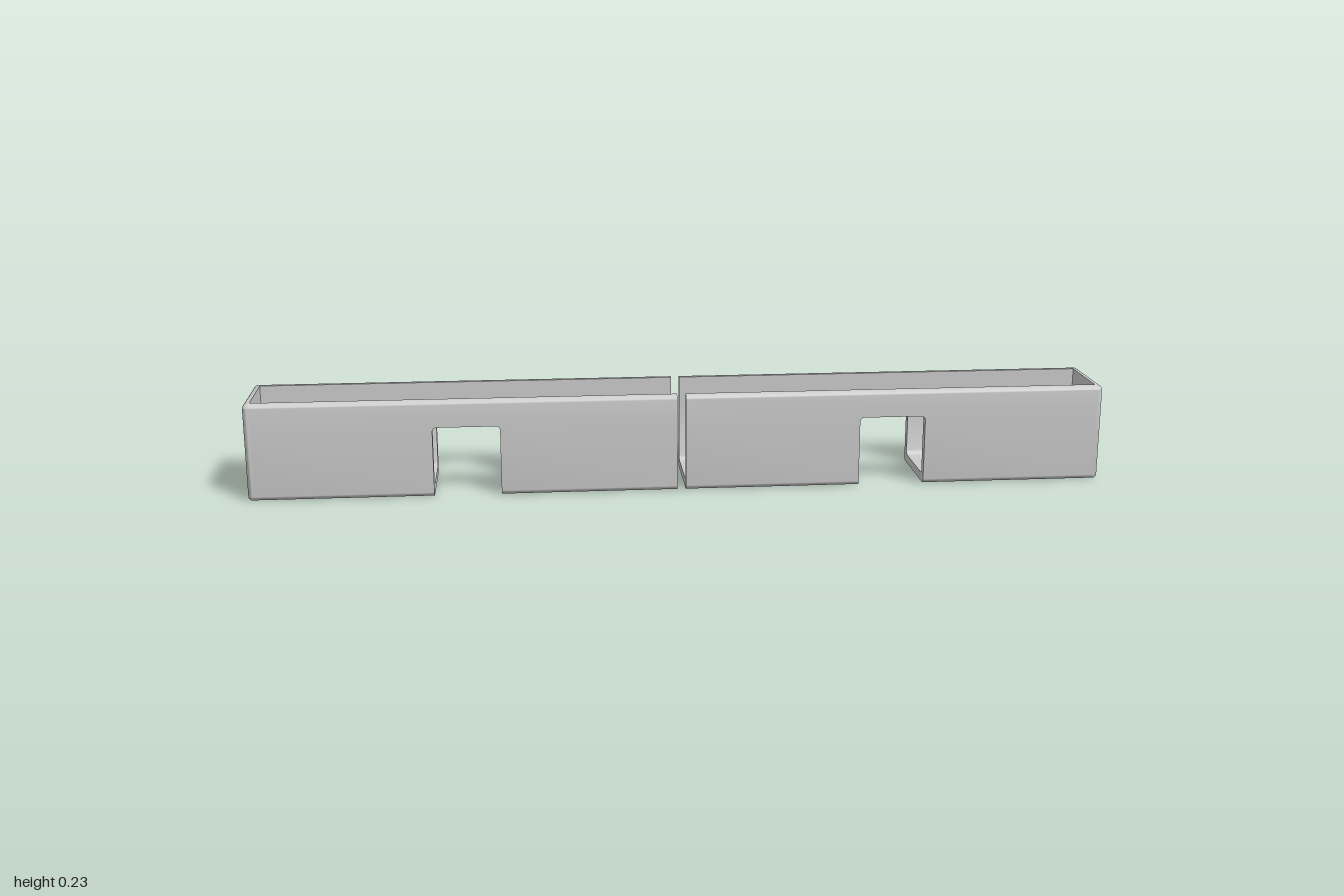
import * as THREE from 'three';
import { toCreasedNormals } from 'three/addons/utils/BufferGeometryUtils.js';

const W = 0.1, H = 0.228, T = 0.02, R = 0.01;      // half width, height, wall, edge radius
const X0 = 0.01, XE = 0.985, X1 = 1;               // open end, inner face of end wall, outer end
const N0 = 0.42, N1 = 0.575, NY = 0.165, YS = 0.17; // notch range and top, trough/rail split

const material = new THREE.MeshStandardMaterial({ color: 0xcccccc });

function mesh(name, geometry) {
  const m = new THREE.Mesh(geometry, material);
  m.name = name;
  return m;
}

// Arc of [z, y] points
function arc(cz, cy, r, a0, a1, n = 5) {
  return Array.from({ length: n + 1 }, (_, i) => {
    const a = a0 + (a1 - a0) * i / n;
    return [cz + r * Math.cos(a), cy + r * Math.sin(a)];
  });
}

// Surface through rings { x, pts } of [z, y] points, pts running counter-clockwise
function loft(rings) {
  const n = rings[0].pts.length, pos = [], index = [];
  rings.forEach(({ x, pts }) => pts.forEach(([z, y]) => pos.push(x, y, z)));
  for (let r = 0; r < rings.length - 1; r++) {
    for (let i = 0; i < n - 1; i++) {
      const a = r * n + i, b = a + n;
      index.push(a, b, a + 1, b, b + 1, a + 1);
    }
  }
  const g = new THREE.BufferGeometry();
  g.setAttribute('position', new THREE.Float32BufferAttribute(pos, 3));
  g.setIndex(index);
  return toCreasedNormals(g, 0.7);
}

const run = (pts, a, b) => loft([{ x: a, pts }, { x: b, pts }]);

// Flat z-symmetric face at x, facing along dir
function cap(pts, x, dir) {
  const shape = new THREE.Shape(pts.map(([z, y]) => new THREE.Vector2(z, y)));
  return new THREE.ShapeGeometry(shape).rotateY(dir * Math.PI / 2).translate(x, 0, 0);
}

// Closed rounded rectangle, inset by d
function roundedRect(d) {
  const r = R - d, P = Math.PI, w = W - R, h = H - R;
  const pts = [
    ...arc(-w, R, r, P, 1.5 * P), ...arc(w, R, r, 1.5 * P, 2 * P),
    ...arc(w, h, r, 0, P / 2), ...arc(-w, h, r, P / 2, P),
  ];
  return [...pts, pts[0]];
}

function createHalf() {
  const half = new THREE.Group();
  const P = Math.PI, I = W - T;

  // Section outlines
  const outer = [[-W, YS], ...arc(-W + R, R, R, P, 1.5 * P), ...arc(W - R, R, R, 1.5 * P, 2 * P), [W, YS]];
  const inner = [[I, YS], ...arc(I - R, T + R, R, 0, -P / 2), ...arc(-I + R, T + R, R, -P / 2, -P), [-I, YS]];
  const rail = [[W, YS], ...arc(W - R, H - R, R, 0, P / 2), [I, H], [I, YS]];
  const railBack = rail.map(([z, y]) => [-z, y]).reverse();

  // Trough on both sides of the notch
  for (const [a, b] of [[X0, N0], [N1, XE]]) {
    half.add(mesh('troughOutside', run(outer, a, b)), mesh('troughInside', run(inner, a, b)));
  }
  half.add(mesh('notchFace', cap([...outer, ...inner], N0, 1)));
  half.add(mesh('notchFace', cap([...outer, ...inner], N1, -1)));

  // Upper rails along the whole length
  half.add(mesh('frontRail', run(rail, X0, XE)), mesh('backRail', run(railBack, X0, XE)));
  half.add(mesh('openEndFace', cap([...outer, ...rail, ...inner, ...railBack], X0, -1)));

  // Lintels with small rounded corners over the notch
  const s = new THREE.Shape();
  s.moveTo(N0, YS);
  s.lineTo(N0, NY - R);
  s.absarc(N0 + R, NY - R, R, P, P / 2, true);
  s.absarc(N1 - R, NY - R, R, P / 2, 0, true);
  s.lineTo(N1, YS);
  for (const z of [I, -W]) {
    const g = new THREE.ExtrudeGeometry(s, { depth: T, bevelEnabled: false, curveSegments: 5 });
    half.add(mesh('notchLintel', g.translate(0, 0, z)));
  }

  // Closed end wall with rounded rim
  const rings = [{ x: XE, pts: roundedRect(0) }];
  for (let i = 0; i <= 5; i++) {
    const a = i / 5 * P / 2;
    rings.push({ x: X1 - R + R * Math.sin(a), pts: roundedRect(R * (1 - Math.cos(a))) });
  }
  const w = W - R;
  half.add(mesh('endWallRim', loft(rings)));
  half.add(mesh('endWallOutside', cap([[-w, R], [w, R], [w, H - R], [-w, H - R]], X1, 1)));
  half.add(mesh('endWallInside', cap([[I, H], ...inner, [-I, H]], XE, -1)));
  return half;
}

export function createModel() {
  const model = new THREE.Group();
  model.name = 'splitTray';
  const left = createHalf();
  left.name = 'leftHalf';
  const right = createHalf();
  right.name = 'rightHalf';
  right.rotation.y = Math.PI;
  model.add(left, right);
  return model;
}
